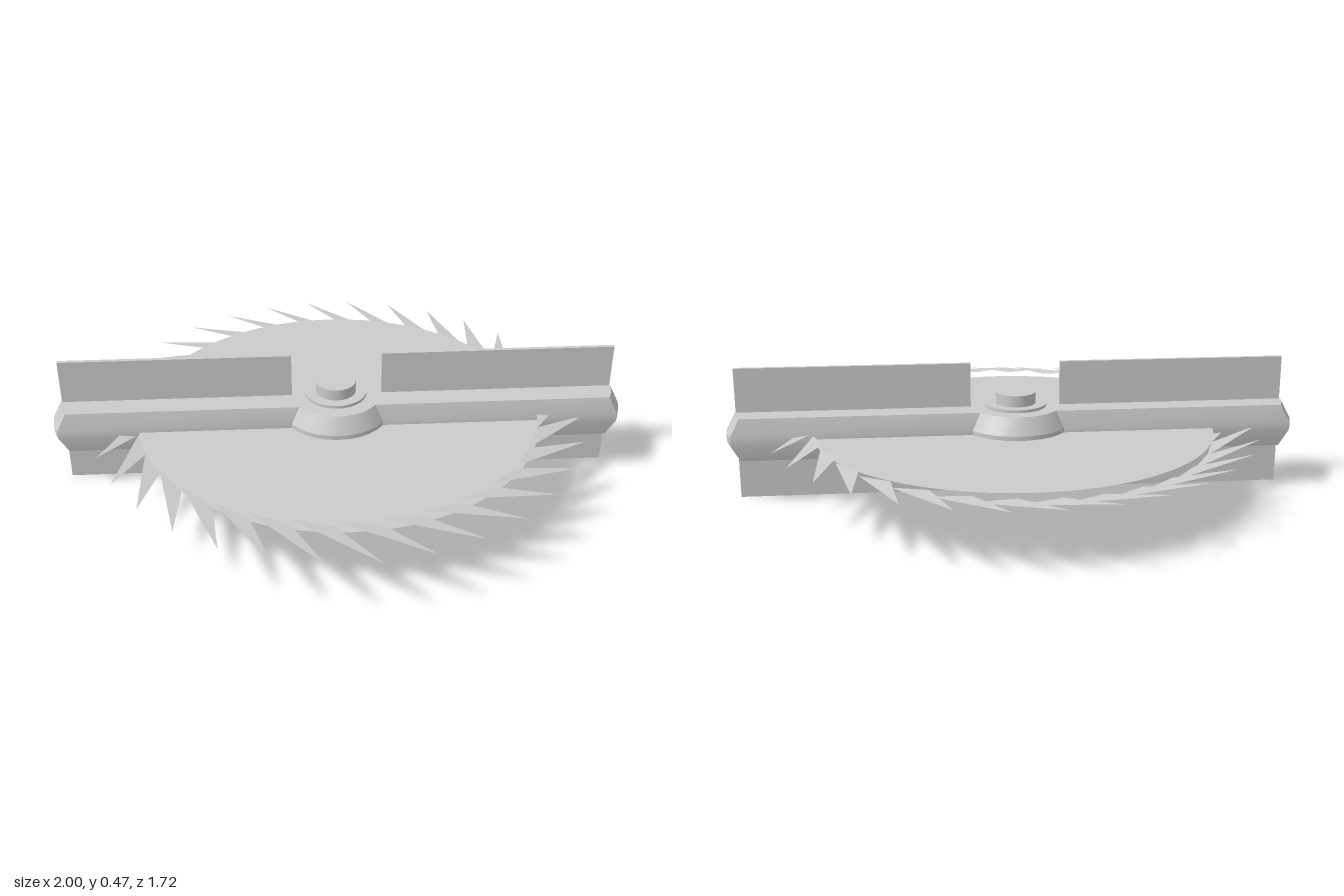
import * as THREE from 'three';
import { toCreasedNormals } from 'three/addons/utils/BufferGeometryUtils.js';

const MID = 0.235, HUB_X = -0.01;

// Closed plan outline of the arm with its round hub: [x, z] points, star-shaped about the hub
function armOutline(halfWidth, hubRadius, endX, cornerX) {
  const pts = [];
  const spread = Math.asin(halfWidth / hubRadius);
  for (const s of [1, -1]) {
    // bulged end
    for (let i = 0; i <= 8; i++) {
      const t = -1 + i / 4;
      pts.push([s * (endX - (endX - cornerX) * t * t), s * t * halfWidth]);
    }
    // half of the hub
    for (let i = 0; i <= 10; i++) {
      const a = spread + (Math.PI - 2 * spread) * i / 10;
      pts.push([HUB_X + s * hubRadius * Math.cos(a), s * hubRadius * Math.sin(a)]);
    }
  }
  return pts;
}

// Skin stacked outlines and close the top and bottom with fans
function loft(levels) {
  const pos = [], idx = [], n = levels[0].pts.length;
  for (const { y, pts } of levels) for (const [x, z] of pts) pos.push(x, y, z);
  const bottom = pos.length / 3, top = bottom + 1;
  pos.push(HUB_X, levels[0].y, 0, HUB_X, levels[levels.length - 1].y, 0);
  const last = (levels.length - 1) * n;
  for (let i = 0; i < n; i++) {
    const j = (i + 1) % n;
    for (let k = 0; k < last; k += n) {
      idx.push(k + i, k + n + i, k + j, k + j, k + n + i, k + n + j);
    }
    idx.push(bottom, i, j, top, last + j, last + i);
  }
  const geo = new THREE.BufferGeometry();
  geo.setAttribute('position', new THREE.Float32BufferAttribute(pos, 3));
  geo.setIndex(idx);
  return toCreasedNormals(geo, 0.35);
}

// Ring of triangular teeth, all leaning the same way so each slopes along x
function teethGeometry(count) {
  const pos = [], step = Math.PI * 2 / count, lean = -0.13;
  const lead = THREE.MathUtils.degToRad(10);
  for (let i = 0; i < count; i++) {
    const a = (i + 0.5) * step;
    const tipX = 0.865 * Math.cos(a);
    const corners = [[0.865, a], [0.70, a - lead], [0.70, a - lead - step]];
    for (const [r, t] of corners) {
      const x = r * Math.cos(t);
      pos.push(x, MID + lean * (x - tipX), -r * Math.sin(t));
    }
  }
  const geo = new THREE.BufferGeometry();
  geo.setAttribute('position', new THREE.Float32BufferAttribute(pos, 3));
  geo.computeVertexNormals();
  // make the normals point up
  const p = geo.attributes.position, nrm = geo.attributes.normal;
  if (nrm.getY(0) < 0) {
    for (let i = 0; i < p.count; i += 3) {
      const b = [p.getX(i + 1), p.getY(i + 1), p.getZ(i + 1)];
      p.setXYZ(i + 1, p.getX(i + 2), p.getY(i + 2), p.getZ(i + 2));
      p.setXYZ(i + 2, ...b);
    }
    geo.computeVertexNormals();
  }
  return geo;
}

export function createModel() {
  const model = new THREE.Group();
  const grey = new THREE.MeshStandardMaterial({ color: 0xcccccc });
  const thin = new THREE.MeshStandardMaterial({ color: 0xcccccc, side: THREE.DoubleSide });

  const add = (name, geo, mat, x = 0, y = 0, z = 0) => {
    const mesh = new THREE.Mesh(geo, mat);
    mesh.name = name;
    mesh.position.set(x, y, z);
    model.add(mesh);
    return mesh;
  };

  // Saw disc and its teeth
  add('sawDisc', new THREE.CircleGeometry(0.705, 64).rotateX(-Math.PI / 2), thin, 0, MID, 0);
  add('sawTeeth', teethGeometry(32), thin);

  // Bevelled cross arm with hub
  const outer = armOutline(0.104, 0.19, 1.0, 0.975);
  const inner = armOutline(0.09, 0.16, 0.968, 0.945);
  add('crossArm', loft([
    { y: 0.16, pts: inner },
    { y: 0.22, pts: outer },
    { y: 0.25, pts: outer },
    { y: 0.31, pts: inner },
  ]), grey);

  // Collar and axle through the hub
  add('collar', new THREE.CylinderGeometry(0.108, 0.108, 0.17, 32), grey, HUB_X, MID, 0);
  add('axle', new THREE.CylinderGeometry(0.07, 0.07, 0.25, 32), grey, HUB_X, MID, 0);

  // Upright fins along both halves of the arm
  for (const [name, x0, x1] of [['leftFin', 0.15, 0.965], ['rightFin', -0.965, -0.165]]) {
    add(name, new THREE.BoxGeometry(x1 - x0, 0.466, 0.014), grey, (x0 + x1) / 2, 0.233, 0);
  }
  return model;
}
